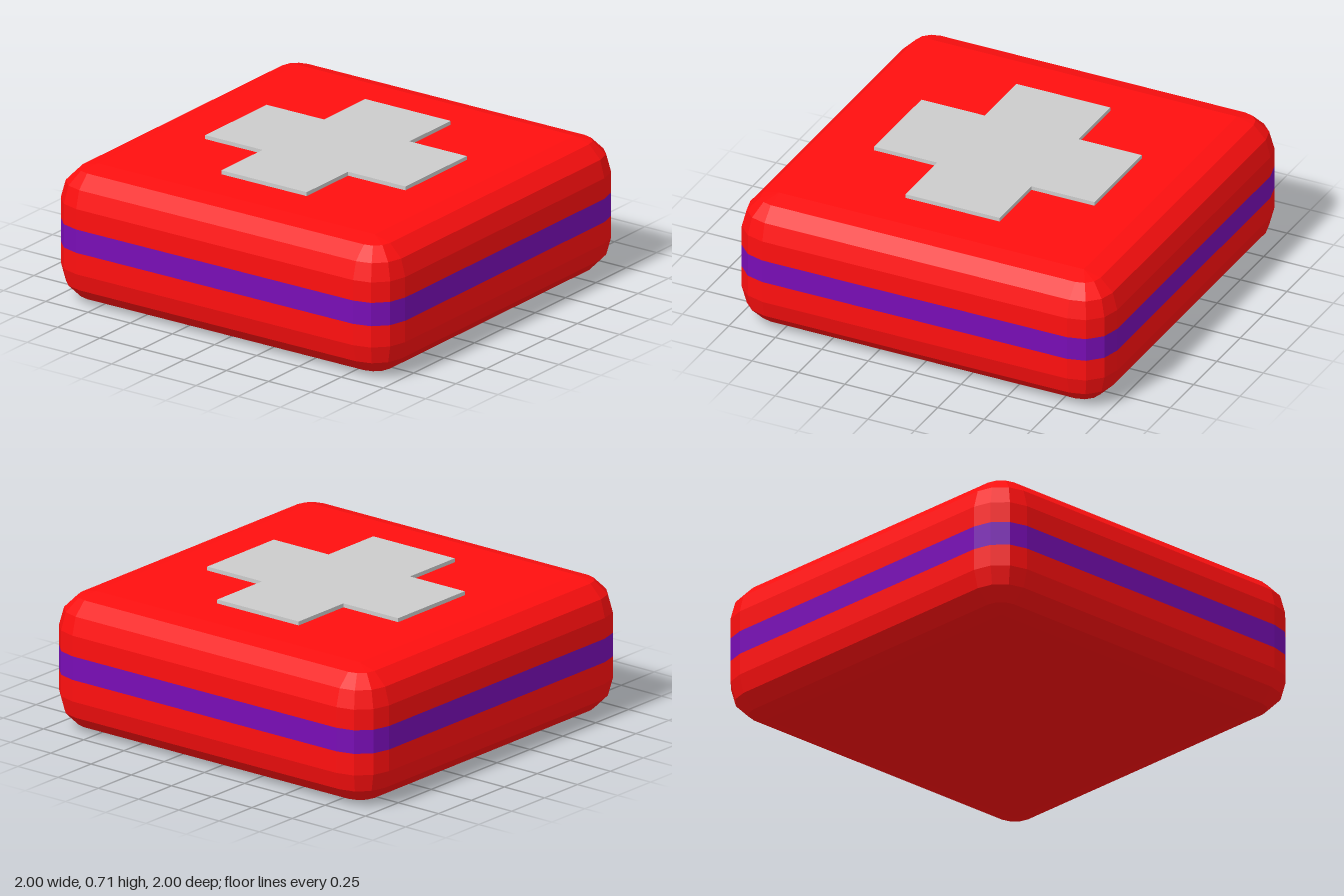
import * as THREE from 'three';

const CORE = 0.82;    // half width of the flat top and bottom
const RADIUS = 0.18;  // edge rounding
const HEIGHT = 0.695;
const STEPS = 3;      // facets per rounded edge
const BAND = [0.29, 0.41];

// Horizontal cross-section: a square with corners rounded by radius r
function ring(y, r) {
  const points = [];
  for (let c = 0; c < 4; c++) {
    const mid = (c + 0.5) * Math.PI / 2;
    const cx = Math.sign(Math.cos(mid)) * CORE;
    const cz = Math.sign(Math.sin(mid)) * CORE;
    for (let i = 0; i <= STEPS; i++) {
      const a = (c + i / STEPS) * Math.PI / 2;
      points.push(new THREE.Vector3(cx + r * Math.cos(a), y, cz + r * Math.sin(a)));
    }
  }
  return points;
}

// Skin a stack of rings, listed from bottom to top, with optional flat caps
function loft(rings, capBottom, capTop) {
  const positions = [];
  const tri = (a, b, c) => {
    const area = b.clone().sub(a).cross(c.clone().sub(a)).length();
    if (area > 1e-7) for (const p of [a, b, c]) positions.push(p.x, p.y, p.z);
  };
  const n = rings[0].length;
  for (let j = 0; j < n; j++) {
    const k = (j + 1) % n;
    for (let i = 0; i < rings.length - 1; i++) {
      const low = rings[i], up = rings[i + 1];
      tri(low[j], up[j], low[k]);
      tri(low[k], up[j], up[k]);
    }
    const first = rings[0], last = rings[rings.length - 1];
    if (capBottom) tri(new THREE.Vector3(0, first[0].y, 0), first[j], first[k]);
    if (capTop) tri(new THREE.Vector3(0, last[0].y, 0), last[k], last[j]);
  }
  const geometry = new THREE.BufferGeometry();
  geometry.setAttribute('position', new THREE.Float32BufferAttribute(positions, 3));
  geometry.computeVertexNormals();
  return geometry;
}

export function createModel() {
  const group = new THREE.Group();
  group.name = 'firstAidBox';
  const red = new THREE.MeshStandardMaterial({ color: 0xff0f0f, flatShading: true });
  const purple = new THREE.MeshStandardMaterial({ color: 0x780db5, flatShading: true });
  const grey = new THREE.MeshStandardMaterial({ color: 0xcccccc, flatShading: true });
  const add = (name, geometry, material) => {
    const mesh = new THREE.Mesh(geometry, material);
    mesh.name = name;
    group.add(mesh);
    return mesh;
  };

  // Rounded lower and upper shells
  const lower = [], upper = [];
  for (let i = 0; i <= STEPS; i++) {
    const a = i / STEPS * Math.PI / 2;
    const r = RADIUS * Math.sin(a), drop = RADIUS * (1 - Math.cos(a));
    lower.push(ring(drop, r));
    upper.unshift(ring(HEIGHT - drop, r));
  }
  lower.push(ring(BAND[0], RADIUS));
  upper.unshift(ring(BAND[1], RADIUS));
  add('lowerShell', loft(lower, true, false), red);
  add('upperShell', loft(upper, false, true), red);

  // Flush band around the middle
  add('band', loft(BAND.map((y) => ring(y, RADIUS)), false, false), purple);

  // Raised cross on the lid
  const w = 0.253, l = 0.593;
  const outline = [[w, w], [w, l], [-w, l], [-w, w], [-l, w], [-l, -w],
    [-w, -w], [-w, -l], [w, -l], [w, -w], [l, -w], [l, w]];
  const cross = new THREE.ExtrudeGeometry(
    new THREE.Shape(outline.map(([x, y]) => new THREE.Vector2(x, y))),
    { depth: 0.03, bevelEnabled: false });
  cross.rotateX(-Math.PI / 2);
  add('cross', cross, grey).position.y = HEIGHT - 0.01;

  return group;
}
